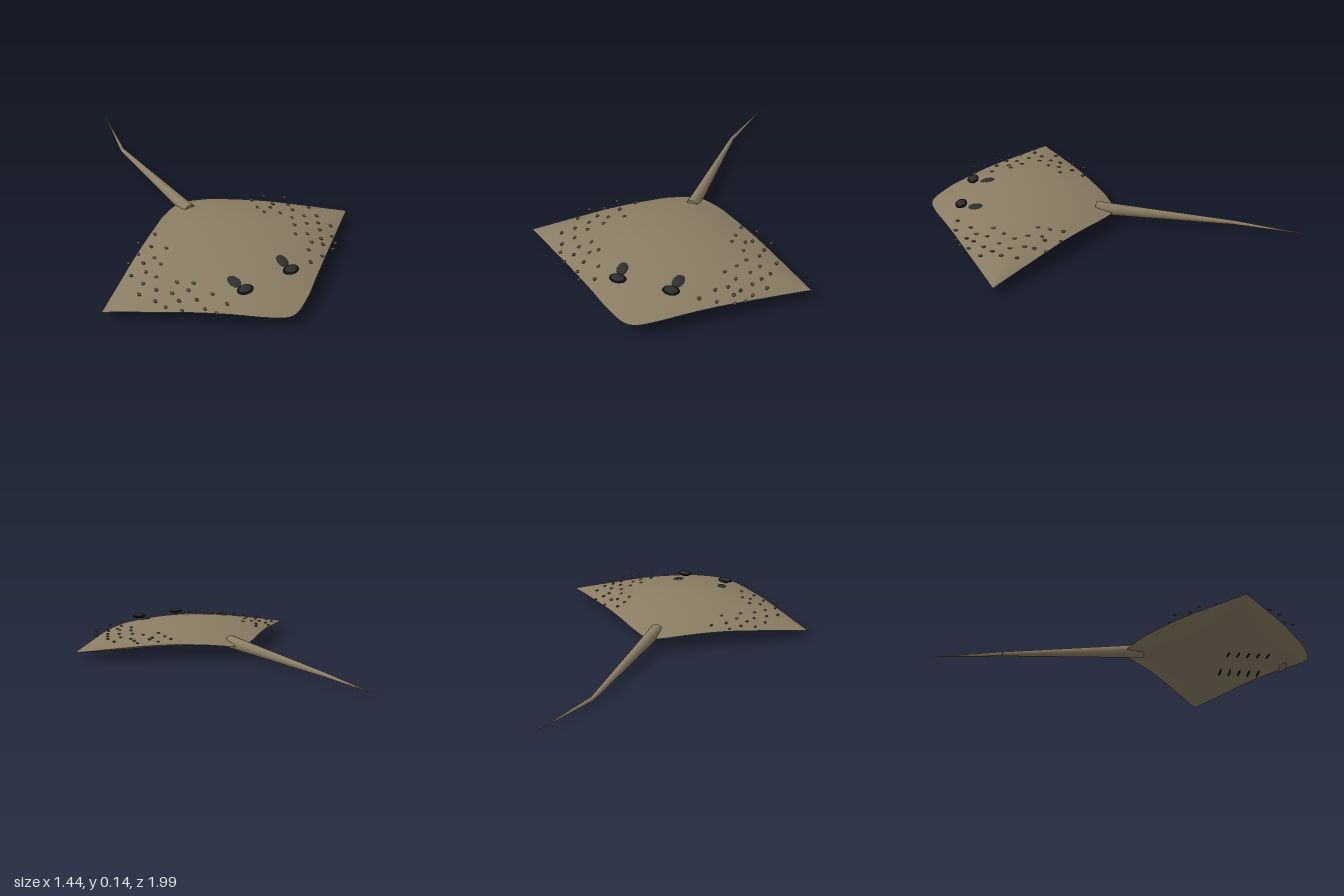
import * as THREE from 'three';

const mat = (name, color, side = THREE.FrontSide) => {
  const m = new THREE.MeshStandardMaterial({ color, side });
  m.name = name;
  return m;
};

// Piecewise-smooth profile through [x, value] points
function profile(points) {
  return (x) => {
    const a = Math.min(Math.abs(x), points[points.length - 1][0]);
    let i = 0;
    while (i < points.length - 2 && a > points[i + 1][0]) i++;
    const t = (a - points[i][0]) / (points[i + 1][0] - points[i][0]);
    const v = (k) => points[Math.min(Math.max(k, 0), points.length - 1)][1];
    const [p, q] = [v(i), v(i + 1)];
    const m0 = i === 0 ? 0 : (q - v(i - 1)) / 2;
    const m1 = i === points.length - 2 ? q - p : (v(i + 2) - p) / 2;
    const t2 = t * t, t3 = t2 * t;
    return (2 * t3 - 3 * t2 + 1) * p + (t3 - 2 * t2 + t) * m0 + (3 * t2 - 2 * t3) * q + (t3 - t2) * m1;
  };
}

const SPAN = 0.72, MID = 0.5;
const chord = profile([[0, 0.49], [0.12, 0.44], [0.24, 0.355], [0.36, 0.268], [0.48, 0.18], [0.6, 0.09], [0.72, 0.001]]);
const rim = profile([[0, 0.064], [0.18, 0.08], [0.36, 0.082], [0.54, 0.066], [0.72, 0.046]]);
const crest = profile([[0, 0.148], [0.18, 0.14], [0.36, 0.116], [0.54, 0.085], [0.72, 0.047]]);
const keel = profile([[0, 0.034], [0.18, 0.034], [0.36, 0.034], [0.54, 0.036], [0.72, 0.045]]);

function skinHeight(x, s, ridge) {
  const e = rim(x);
  return e + (ridge(x) - e) * (1 - s * s);
}

// One curved skin of the disc, spanning wing tip to wing tip
function skin(ridge, up) {
  const nx = 64, ns = 28, pos = [], index = [];
  for (let i = 0; i <= nx; i++) {
    const x = (i / nx * 2 - 1) * SPAN;
    for (let j = 0; j <= ns; j++) {
      const s = j / ns * 2 - 1;
      pos.push(x, skinHeight(x, s, ridge), MID + s * chord(x));
    }
  }
  for (let i = 0; i < nx; i++) {
    for (let j = 0; j < ns; j++) {
      const a = i * (ns + 1) + j, b = a + 1, c = a + ns + 1, d = c + 1;
      if (up) index.push(a, b, c, b, d, c);
      else index.push(a, c, b, b, c, d);
    }
  }
  const g = new THREE.BufferGeometry();
  g.setAttribute('position', new THREE.Float32BufferAttribute(pos, 3));
  g.setIndex(index);
  g.computeVertexNormals();
  return g;
}

// Tapered round section between two points
function taper(from, to, r0, r1) {
  const dir = to.clone().sub(from);
  const g = new THREE.CylinderGeometry(r1, r0, dir.length(), 16);
  g.applyQuaternion(new THREE.Quaternion().setFromUnitVectors(new THREE.Vector3(0, 1, 0), dir.normalize()));
  const c = from.clone().add(to).multiplyScalar(0.5);
  return g.translate(c.x, c.y, c.z);
}

export function createModel() {
  const group = new THREE.Group();
  const hide = mat('hide brown', 0x8b7d64);
  const dark = mat('bump brown', 0x5c5040);
  const eyeDark = mat('eye charcoal', 0x2e2e2e);
  const black = mat('slit black', 0x151515);
  const lip = mat('mouth brown', 0x8a6a58);

  const add = (name, geometry, material, x = 0, y = 0, z = 0, parent = group) => {
    const m = new THREE.Mesh(geometry, material);
    m.name = name;
    m.position.set(x, y, z);
    parent.add(m);
    return m;
  };

  // Disc-shaped body
  add('bodyTop', skin(crest, true), hide);
  add('bodyUnderside', skin(keel, false), hide);

  // Tail with a bent whip end
  const root = new THREE.Vector3(0, 0.074, 0.105);
  const bend = new THREE.Vector3(0, 0.027, -0.63);
  const tip = new THREE.Vector3(0.082, 0.031, -1);
  add('tailBase', taper(root, bend, 0.035, 0.011), hide);
  add('tailWhip', taper(bend, tip, 0.011, 0.001), hide);

  const ball = new THREE.SphereGeometry(1, 20, 12);
  const ring = new THREE.TorusGeometry(0.032, 0.007, 8, 28).rotateX(Math.PI / 2);
  for (const side of [-1, 1]) {
    // Eyes with dark rims
    const eye = new THREE.Group();
    eye.name = 'eye';
    eye.position.set(side * 0.13, 0.134, 0.793);
    group.add(eye);
    add('eyeball', ball, eyeDark, 0, 0, 0, eye).scale.set(0.036, 0.014, 0.026);
    add('eyeRim', ring, black, 0, 0, 0, eye).scale.set(1.08, 0.8, 0.76);

    // Breathing holes behind the eyes
    const hole = add('spiracle', ball, eyeDark, side * 0.14, 0.124, 0.715);
    hole.scale.set(0.028, 0.008, 0.04);
    hole.rotation.set(0.12, side * -0.2, side * -0.12);

    // Gill slits
    for (let i = 0; i < 5; i++) {
      const gill = add('gillSlit', ball, black, side * 0.115, 0.018, 0.535 + i * 0.052);
      gill.scale.set(0.04, 0.004, 0.006);
      gill.rotation.z = side * -0.08;
    }
  }

  // Mouth
  add('mouth', ball, lip, 0, 0.012, 0.85).scale.set(0.06, 0.008, 0.021);

  // Skin bumps scattered over each wing, as x, z pairs
  const bumps = {
    1: [.30, .23, .38, .23, .47, .29, .29, .30, .38, .31, .35, .33, .29, .36, .45, .35, .36, .40, .44, .40, .53, .42,
      .39, .46, .46, .47, .52, .50, .36, .52, .43, .53, .49, .55, .32, .58, .38, .60, .46, .60, .53, .60, .36, .66,
      .42, .66, .48, .67, .31, .70, .40, .70, .46, .72, .26, .78, .34, .77, .42, .75],
    [-1]: [.27, .21, .37, .22, .33, .28, .41, .29, .48, .32, .28, .34, .36, .36, .42, .36, .51, .40, .44, .42, .36, .42,
      .49, .48, .42, .48, .54, .53, .46, .55, .36, .57, .50, .61, .41, .61, .30, .62, .48, .67, .41, .67, .34, .64,
      .43, .73, .34, .71, .26, .72, .34, .78, .31, .83, .24, .81],
  };
  const bump = new THREE.SphereGeometry(1, 10, 8);
  for (const side of [1, -1]) {
    const list = bumps[side];
    for (let i = 0; i < list.length; i += 2) {
      const x = list[i], z = list[i + 1];
      const s = Math.max(-1, Math.min(1, (z - MID) / chord(x)));
      const y = Math.max(skinHeight(x, s, crest), 0.128 - 0.065 * x);
      add('skinBump', bump, dark, side * x, y, z).scale.set(0.008, 0.005, 0.011);
    }
  }
  return group;
}
